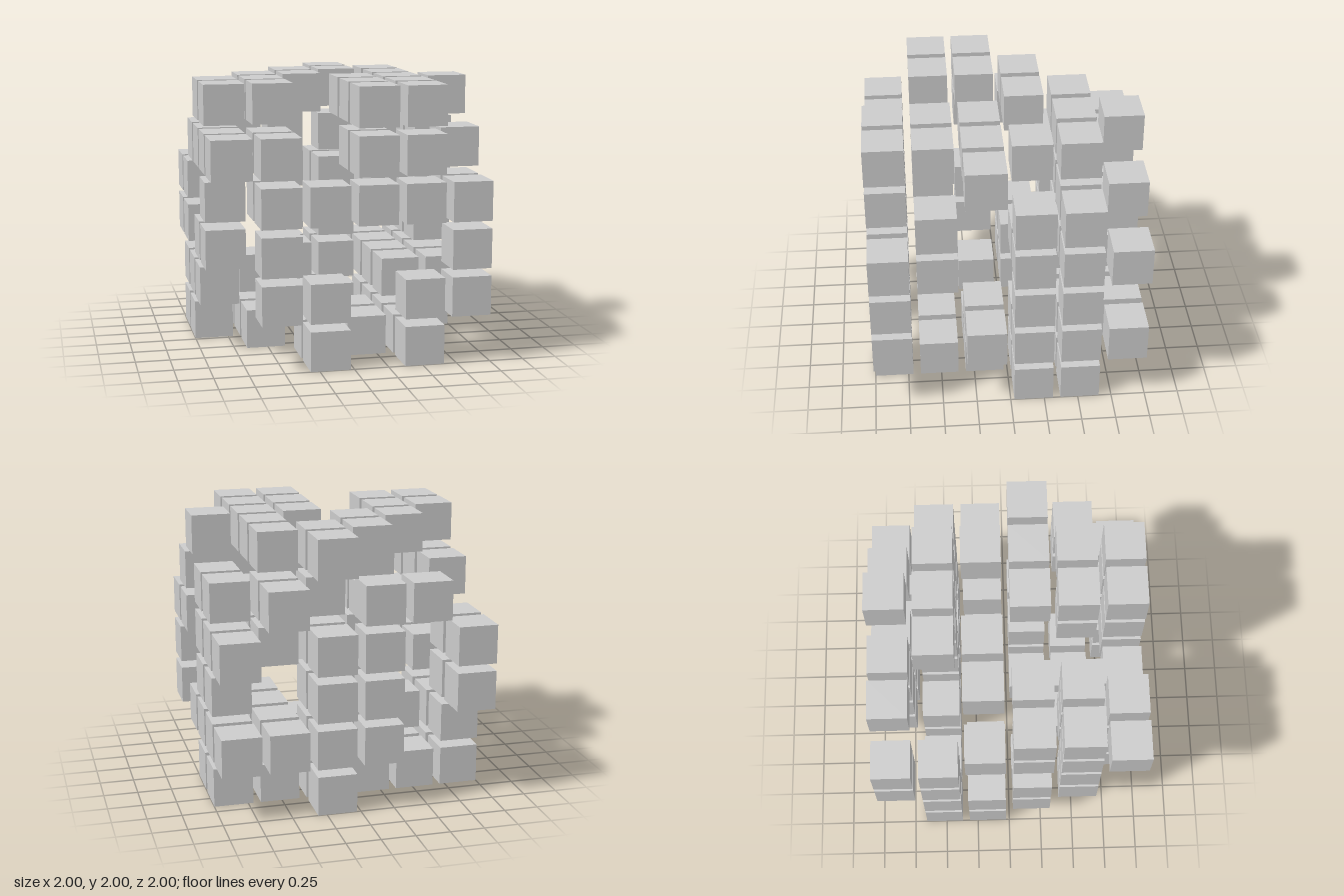
import * as THREE from 'three';

const SIZE = 0.287;             // cube edge
const PITCH = (2 - SIZE) / 5;   // spacing between cube centres

// Occupied cells, bottom layer first; each layer lists rows from back to front, left to right
const LAYERS = [
  ['...#..', '######', '##..##', '.#.##.', '..###.', '..#.#.'],
  ['..####', '#.####', '##..##', '#...##', '......', '.##.##'],
  ['#.##..', '#..#.#', '.....#', '#.....', '#.....', '.#...#'],
  ['#.##.#', '#..###', '....##', '......', '##...#', '.#####'],
  ['.##.#.', '...###', '#....#', '#.....', '##.#.#', '##.##.'],
  ['...#..', '..###.', '.##.#.', '##.###', '##.##.', '...##.'],
];

export function createModel() {
  const model = new THREE.Group();
  model.name = 'cubeLattice';
  const geometry = new THREE.BoxGeometry(SIZE, SIZE, SIZE);
  const material = new THREE.MeshStandardMaterial({ color: 0xcccccc, flatShading: true });

  LAYERS.forEach((rows, j) => {
    const layer = new THREE.Group();
    layer.name = `layer${j + 1}`;
    layer.position.y = SIZE / 2 + j * PITCH;
    rows.forEach((row, k) => {
      [...row].forEach((cell, i) => {
        if (cell !== '#') return;
        const cube = new THREE.Mesh(geometry, material);
        cube.name = 'cube';
        cube.position.set((i - 2.5) * PITCH, 0, (k - 2.5) * PITCH);
        layer.add(cube);
      });
    });
    model.add(layer);
  });
  return model;
}
